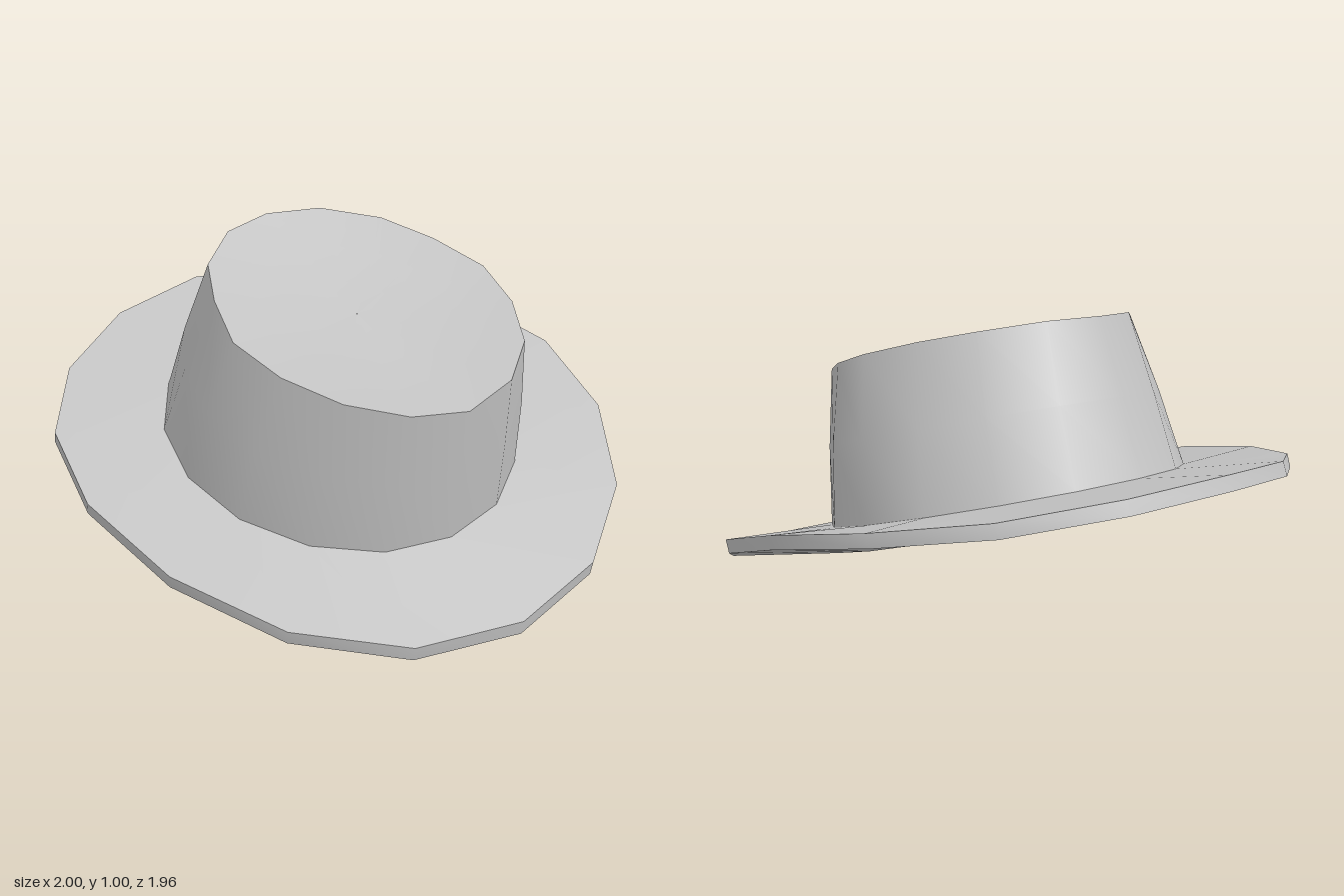
import * as THREE from 'three';

const SIDES = 16;

// Tilted oval ring. h lists the cosine terms of its height, starting at the front (+z).
function ring(cx, cz, rx, rz, h) {
  return Array.from({ length: SIDES }, (_, i) => {
    const t = (i / SIDES) * Math.PI * 2;
    const y = h.reduce((sum, k, n) => sum + k * Math.cos(n * t), 0);
    return [cx + rx * Math.sin(t), y, cz + rz * Math.cos(t)];
  });
}

// Mirrors half an outline, given from front to back, into a full ring about x = cx.
function mirrored(cx, half) {
  const other = half.slice(1, -1).reverse().map(([x, y, z]) => [-x, y, z]);
  return [...half, ...other].map(([x, y, z]) => [cx + x, y, z]);
}

// Ring part of the way between two others.
function between(a, b, t) {
  return a.map((p, i) => p.map((v, k) => v + (b[i][k] - v) * t));
}

// Smooth skin across a list of rings.
function loft(rings) {
  const index = [];
  for (let i = 0; i < rings.length - 1; i++) {
    for (let j = 0; j < SIDES; j++) {
      const a = i * SIDES + j, b = i * SIDES + (j + 1) % SIDES;
      index.push(a, b, a + SIDES, b, b + SIDES, a + SIDES);
    }
  }
  const g = new THREE.BufferGeometry();
  g.setAttribute('position', new THREE.Float32BufferAttribute(rings.flat(2), 3));
  g.setIndex(index);
  g.computeVertexNormals();
  return g;
}

export function createModel() {
  const felt = new THREE.MeshStandardMaterial({ color: 0xc4c4c4 });
  felt.name = 'grey felt';
  const hat = new THREE.Group();
  hat.name = 'hat';
  const add = (name, rings) => {
    const mesh = new THREE.Mesh(loft(rings), felt);
    mesh.name = name;
    hat.add(mesh);
  };

  // Brim edges, with the sides curled up a little
  const rimTop = ring(0, 0.01, 0.998, 0.97, [0.33, -0.243, -0.032, -0.012, 0.009]);
  const rimBottom = ring(0, -0.003, 0.994, 0.975, [0.283, -0.245, -0.035, -0.012, 0.009]);

  // Crown outline from the brim to the sloping top, which dips to a point at the front
  const base = ring(0, 0.01, 0.63, 0.612, [0.335, -0.157]);
  const topEdge = mirrored(-0.015, [
    [0, 0.688, 0.698], [0.205, 0.72, 0.663], [0.37, 0.763, 0.543],
    [0.475, 0.812, 0.365], [0.517, 0.865, 0.167], [0.457, 0.918, -0.035],
    [0.365, 0.96, -0.22], [0.195, 0.992, -0.362], [0, 0.998, -0.415],
  ]);
  const middle = between(base, topEdge, 0.5).map(([x, y, z]) => [x * 1.025, y, z]);
  const topCentre = ring(-0.015, 0.12, 0.002, 0.002, [0.805]);

  // Shallow domed hollow underneath
  const opening = ring(0, 0, 0.625, 0.608, [0.25, -0.163]);

  add('brimTop', [rimTop, base]);
  add('brimEdge', [rimBottom, rimTop]);
  add('brimUnderside', [opening, rimBottom]);
  add('crownWall', [base, middle, topEdge]);
  // Top of the crown, gently dished
  const dish = (t, drop) => between(topEdge, topCentre, t).map(([x, y, z]) => [x, y - drop, z]);
  add('crownTop', [topEdge, dish(0.33, 0.016), dish(0.68, 0.014), topCentre]);
  add('crownLining', [
    ring(0, 0.02, 0.002, 0.002, [0.455]),
    ring(0, 0.02, 0.24, 0.235, [0.425, -0.062]),
    ring(0, 0.012, 0.46, 0.45, [0.352, -0.12]),
    opening,
  ]);
  return hat;
}
